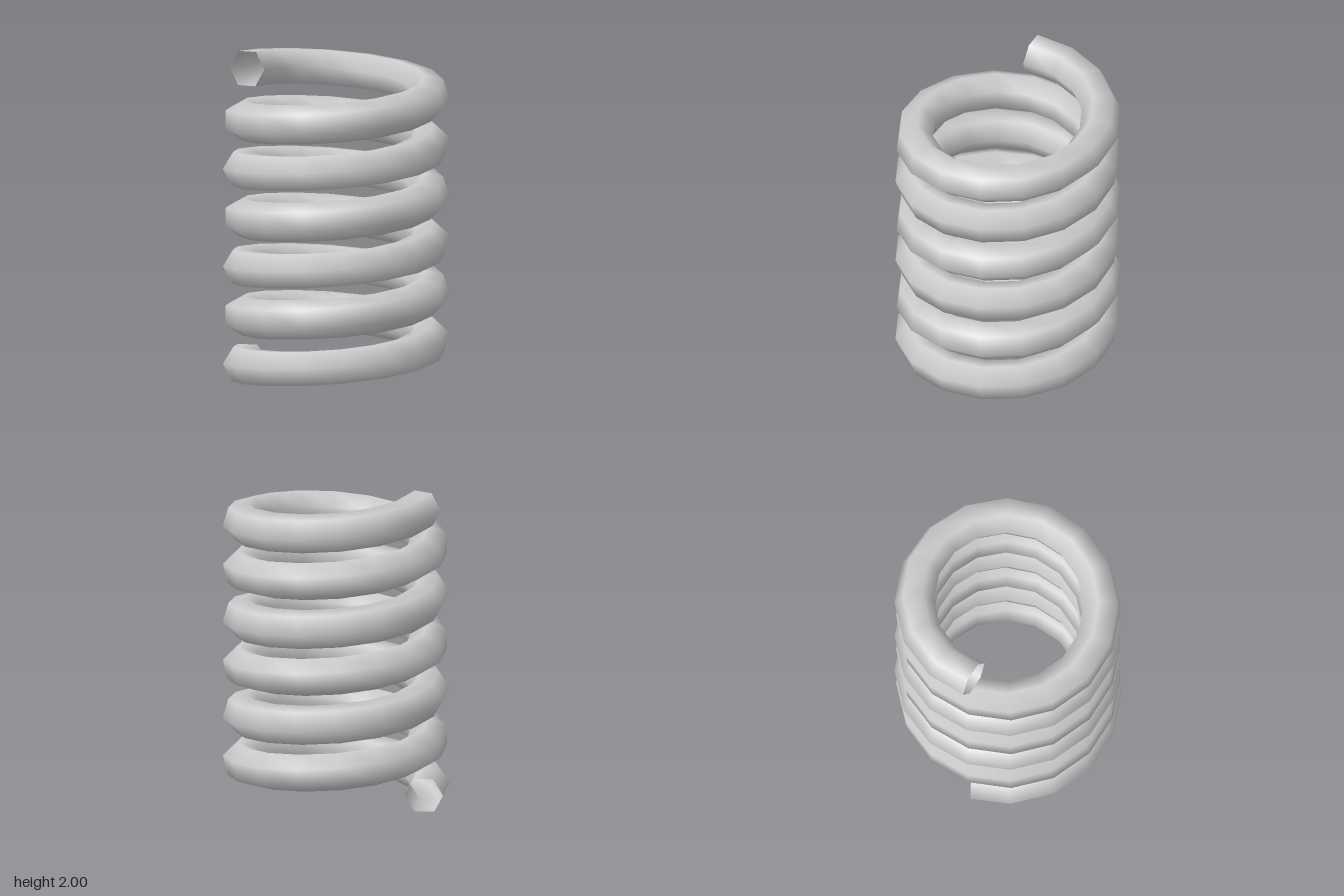
import * as THREE from 'three';

const TURNS = 6, STEPS = 16, SIDES = 6;
const COIL_R = 0.568, WIRE_R = 0.1196, PITCH = 0.299;

// Point on the coil's centre line at ring i
function helixPoint(i) {
  const t = (i / STEPS) * Math.PI * 2;
  const y = 1 + PITCH * (i / STEPS - TURNS / 2);
  return new THREE.Vector3(-COIL_R * Math.cos(t), y, COIL_R * Math.sin(t));
}

// Hexagonal wire swept along the helix, open at both ends
function coilGeometry() {
  const rings = TURNS * STEPS;
  const positions = [], index = [];
  for (let i = 0; i <= rings; i++) {
    const p = helixPoint(i);
    const tangent = helixPoint(Math.min(i + 1, rings))
      .sub(helixPoint(Math.max(i - 1, 0))).normalize();
    const out = new THREE.Vector3(p.x, 0, p.z);
    out.addScaledVector(tangent, -out.dot(tangent)).normalize();
    const up = new THREE.Vector3().crossVectors(out, tangent);

    // the section twists by half a side (30 degrees) per turn
    const twist = (i / STEPS) * Math.PI / 6;
    for (let k = 0; k < SIDES; k++) {
      const a = twist + (k / SIDES) * Math.PI * 2;
      const v = p.clone()
        .addScaledVector(out, WIRE_R * Math.cos(a))
        .addScaledVector(up, WIRE_R * Math.sin(a));
      positions.push(v.x, v.y, v.z);
      if (i < rings) {
        const k2 = (k + 1) % SIDES;
        const a0 = i * SIDES + k, b0 = i * SIDES + k2;
        index.push(a0, a0 + SIDES, b0, b0, a0 + SIDES, b0 + SIDES);
      }
    }
  }
  const geometry = new THREE.BufferGeometry();
  geometry.setAttribute('position', new THREE.Float32BufferAttribute(positions, 3));
  geometry.setIndex(index);
  geometry.computeVertexNormals();
  return geometry;
}

export function createModel() {
  const group = new THREE.Group();
  group.name = 'spring';
  const material = new THREE.MeshStandardMaterial({ color: 0xcccccc, side: THREE.DoubleSide });
  const coil = new THREE.Mesh(coilGeometry(), material);
  coil.name = 'coil';
  group.add(coil);
  return group;
}
